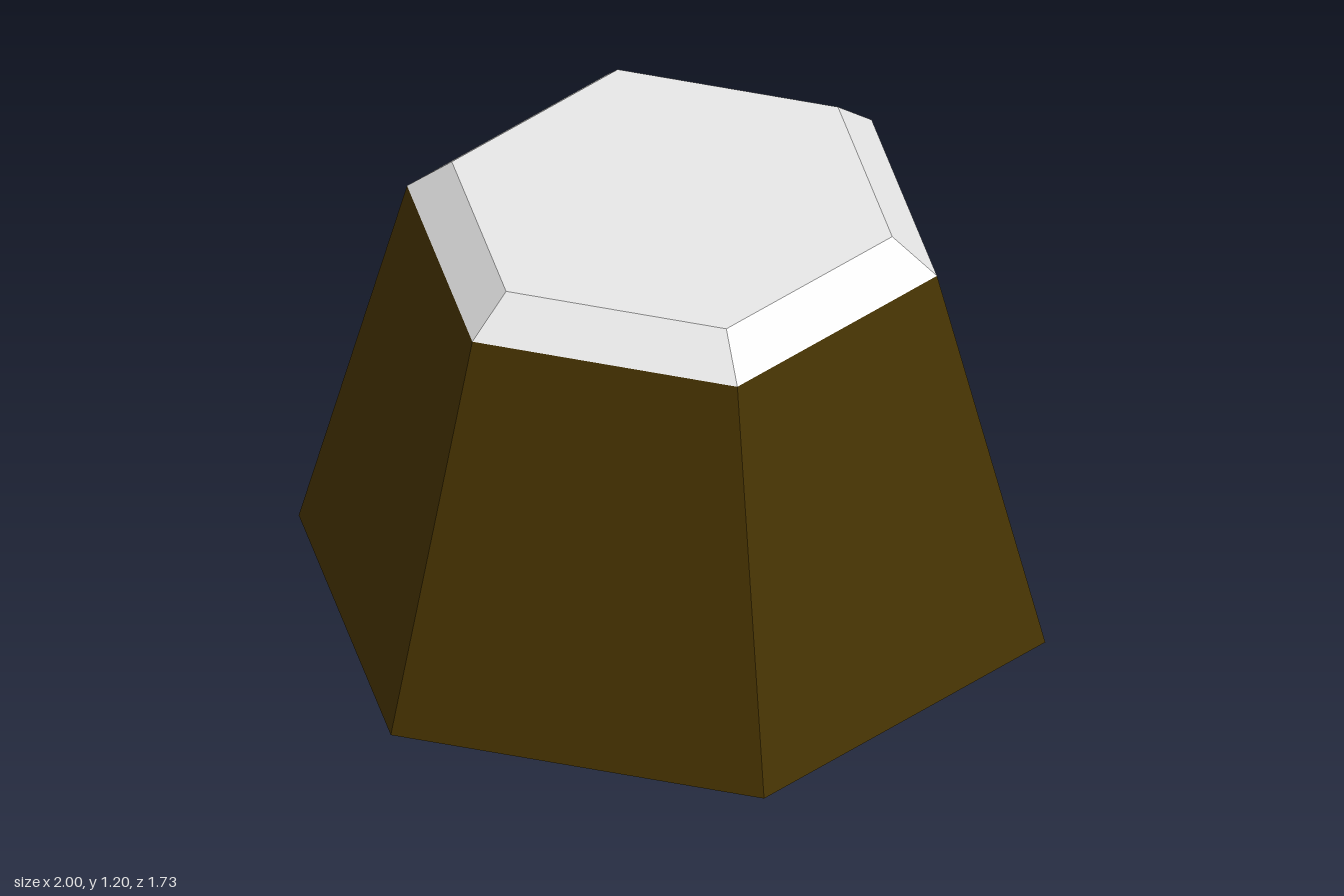
import * as THREE from 'three';

const mat = (name, color) => {
  const m = new THREE.MeshStandardMaterial({ color });
  m.name = name;
  return m;
};

// Centreline of the groove in (x, z), its corners replaced by short bends
function bentPath(corners, cut) {
  const pts = [corners[0]];
  for (let i = 1; i < corners.length - 1; i++) {
    const c = corners[i];
    const toward = (p) => c.clone().add(p.clone().sub(c).setLength(cut));
    const bend = new THREE.QuadraticBezierCurve(toward(corners[i - 1]), c, toward(corners[i + 1]));
    pts.push(...bend.getPoints(6));
  }
  pts.push(corners[corners.length - 1]);
  return pts;
}

// Flat ribbon of constant width with round ends
function ribbonShape(pts, half) {
  const last = pts.length - 1;
  const angle = pts.map((p, i) => {
    const d = pts[Math.min(i + 1, last)].clone().sub(pts[Math.max(i - 1, 0)]);
    return Math.atan2(d.y, d.x);
  });
  const around = (i, a) =>
    new THREE.Vector2(pts[i].x + Math.cos(a) * half, pts[i].y + Math.sin(a) * half);
  const outline = [];
  for (let i = 0; i <= last; i++) outline.push(around(i, angle[i] - Math.PI / 2));
  for (let k = 1; k < 8; k++) outline.push(around(last, angle[last] - Math.PI / 2 + (k * Math.PI) / 8));
  for (let i = last; i >= 0; i--) outline.push(around(i, angle[i] + Math.PI / 2));
  for (let k = 1; k < 8; k++) outline.push(around(0, angle[0] + Math.PI / 2 + (k * Math.PI) / 8));
  return new THREE.Shape(outline);
}

export function createModel() {
  const group = new THREE.Group();
  const brown = mat('dark brown', 0x463300);
  const ochre = mat('dark ochre', 0x7f6000);
  const tan = mat('light tan', 0xcdb376);
  const white = mat('off white', 0xececec);

  const add = (name, geometry, material) => {
    const mesh = new THREE.Mesh(geometry, material);
    mesh.name = name;
    group.add(mesh);
  };

  // Six-sided ring of flat faces with corners on the x axis
  const hexRing = (rTop, rBottom, y0, y1) => {
    const g = new THREE.CylinderGeometry(rTop, rBottom, y1 - y0, 6, 1, true, Math.PI / 2)
      .translate(0, (y0 + y1) / 2, 0)
      .toNonIndexed();
    g.computeVertexNormals();
    return g;
  };

  // Tapered body and bevelled cap
  add('body', hexRing(0.71, 1, 0, 1.1), brown);
  add('capBevel', hexRing(0.59, 0.71, 1.1, 1.2), white);
  add('capTop', new THREE.CircleGeometry(0.59, 6).rotateX(-Math.PI / 2).translate(0, 1.2, 0), white);

  // Underside, set in slightly so the spiral lies on y = 0
  add('underside', new THREE.CircleGeometry(1, 6).rotateX(Math.PI / 2).translate(0, 0.004, 0), tan);

  // Angular spiral painted on the underside
  const corners = [
    [0, 0], [0.215, -0.27], [-0.2, -0.515], [-0.565, -0.105],
    [-0.19, 0.42], [0.47, 0.34], [0.63, -0.115],
  ].map(([x, z]) => new THREE.Vector2(x, z));
  const spiral = new THREE.ShapeGeometry(ribbonShape(bentPath(corners, 0.08), 0.0625));
  add('undersideSpiral', spiral.rotateX(Math.PI / 2), ochre);

  return group;
}
